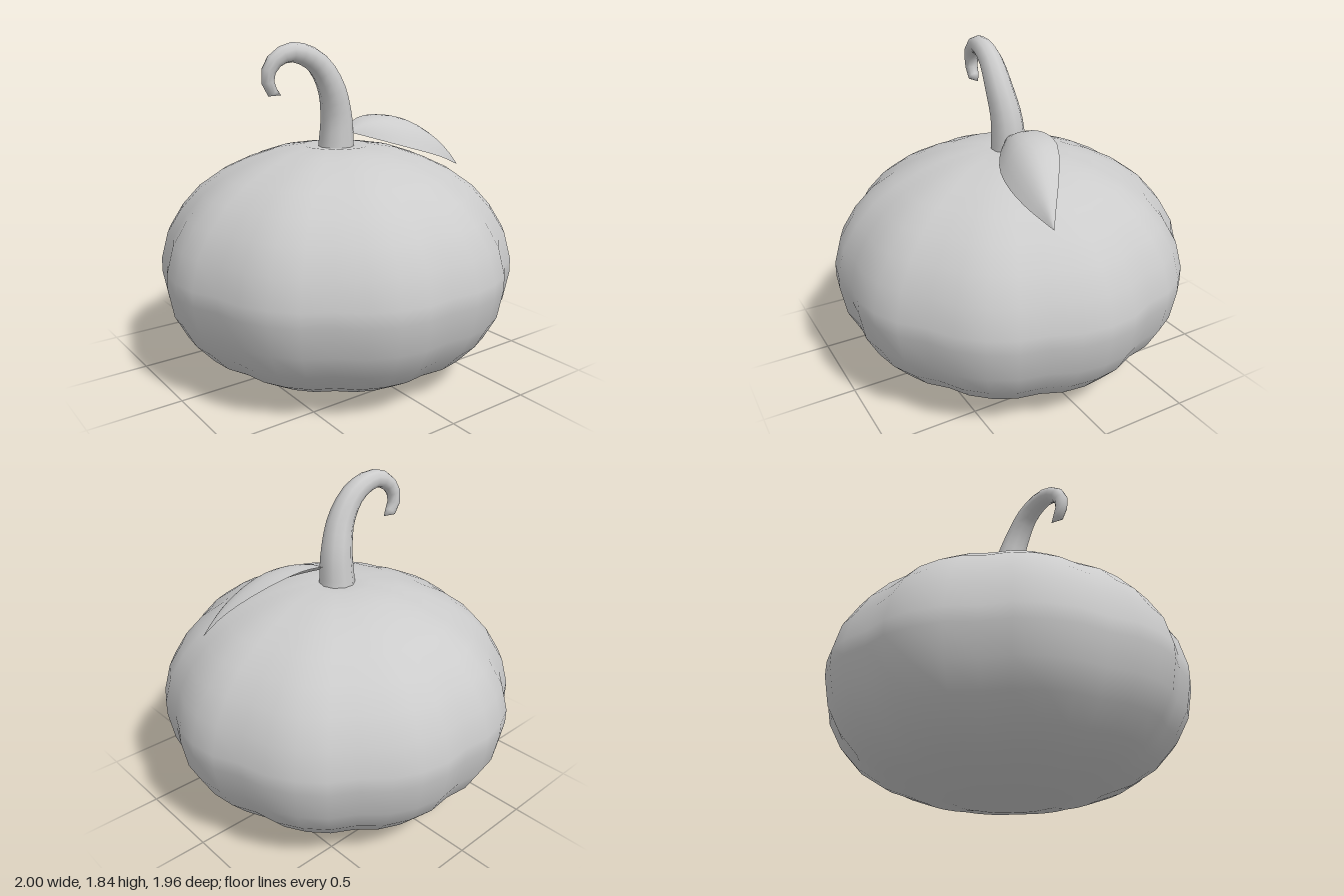
import * as THREE from 'three';
import { mergeVertices } from 'three/addons/utils/BufferGeometryUtils.js';

const material = new THREE.MeshStandardMaterial({ color: 0xcccccc });
const leafMaterial = new THREE.MeshStandardMaterial({ color: 0xcccccc, side: THREE.DoubleSide });

function addMesh(group, name, geometry, mat = material) {
  const mesh = new THREE.Mesh(geometry, mat);
  mesh.name = name;
  group.add(mesh);
}

// Weld seams so that the normals run smoothly all the way round
function smooth(geometry) {
  geometry.deleteAttribute('uv');
  geometry.deleteAttribute('normal');
  const welded = mergeVertices(geometry, 1e-4);
  welded.computeVertexNormals();
  return welded;
}

// Squashed round body with ten broad lobes and narrow grooves
function bodyGeometry() {
  const profile = [
    [0, 0.02], [0.15, 0.005], [0.3, 0], [0.5, 0.03], [0.67, 0.09], [0.8, 0.17], [0.9, 0.28],
    [0.97, 0.41], [1, 0.57], [1, 0.65], [0.96, 0.8], [0.88, 0.93], [0.78, 1.04],
    [0.65, 1.13], [0.5, 1.2], [0.35, 1.25], [0.19, 1.275], [0.08, 1.265], [0, 1.26],
  ].map(([r, y]) => new THREE.Vector2(r, y));
  const geometry = new THREE.LatheGeometry(profile, 40);
  const p = geometry.attributes.position;
  for (let i = 0; i < p.count; i++) {
    const angle = Math.atan2(p.getZ(i), p.getX(i));
    const lobe = 0.965 + 0.035 * Math.abs(Math.cos(5 * angle)) ** 0.6;
    p.setX(i, p.getX(i) * lobe);
    p.setZ(i, p.getZ(i) * lobe);
  }
  return smooth(geometry);
}

// Tapering stem that curls over to one side
function stemGeometry() {
  const path = new THREE.CatmullRomCurve3([
    [0, 1.24, 0], [-0.005, 1.43, 0.01], [-0.055, 1.6, 0.03], [-0.14, 1.725, 0.03],
    [-0.24, 1.78, 0.025], [-0.32, 1.787, 0.02], [-0.4, 1.745, 0.01], [-0.437, 1.67, 0],
    [-0.42, 1.6, 0], [-0.385, 1.568, 0], [-0.357, 1.567, 0],
  ].map((c) => new THREE.Vector3(...c)));
  const steps = 18, sides = 10;
  const geometry = new THREE.TubeGeometry(path, steps, 1, sides);
  const p = geometry.attributes.position;
  const v = new THREE.Vector3();
  for (let i = 0; i < p.count; i++) {
    const step = Math.floor(i / (sides + 1));
    const u = step / steps;
    const centre = path.getPointAt(u);
    const radius = step === steps ? 0 : 0.102 - 0.075 * u;
    v.fromBufferAttribute(p, i).sub(centre).multiplyScalar(radius).add(centre);
    p.setXYZ(i, v.x, v.y, v.z);
  }
  return smooth(geometry);
}

// One arched leaf face, swept between its back and front edges
function leafFace(arch, flip) {
  const edge = (points) => new THREE.CatmullRomCurve3(points.map((c) => new THREE.Vector3(...c)));
  const back = edge([[0.07, 1.36, 0.02], [0.15, 1.4, -0.035], [0.28, 1.42, -0.055],
    [0.42, 1.4, -0.04], [0.58, 1.31, 0.05], [0.69, 1.21, 0.135], [0.765, 1.11, 0.195]]);
  const front = edge([[0.07, 1.34, 0.06], [0.17, 1.307, 0.15], [0.3, 1.265, 0.225],
    [0.45, 1.22, 0.255], [0.6, 1.172, 0.245], [0.7, 1.133, 0.215], [0.765, 1.11, 0.195]]);
  const up = new THREE.Vector3(0.2, 0.85, 0.45).normalize();
  const long = 14, wide = 8, positions = [], index = [];
  for (let i = 0; i <= long; i++) {
    const a = back.getPoint(i / long), b = front.getPoint(i / long);
    for (let j = 0; j <= wide; j++) {
      const t = j / wide;
      const lift = arch * a.distanceTo(b) * Math.sin(Math.PI * t);
      positions.push(...a.clone().lerp(b, t).addScaledVector(up, lift));
      if (i === long || j === wide) continue;
      const k = i * (wide + 1) + j, n = k + wide + 1;
      if (flip) index.push(k, n, k + 1, k + 1, n, n + 1);
      else index.push(k, k + 1, n, k + 1, n + 1, n);
    }
  }
  const geometry = new THREE.BufferGeometry();
  geometry.setAttribute('position', new THREE.Float32BufferAttribute(positions, 3));
  geometry.setIndex(index);
  geometry.computeVertexNormals();
  return geometry;
}

export function createModel() {
  const model = new THREE.Group();
  model.name = 'pumpkin';
  addMesh(model, 'body', bodyGeometry());
  addMesh(model, 'stem', stemGeometry());

  // Thin leaf with a domed top and a hollow underside
  const leaf = new THREE.Group();
  leaf.name = 'leaf';
  addMesh(leaf, 'leafTop', leafFace(0.2, false), leafMaterial);
  addMesh(leaf, 'leafUnderside', leafFace(0.1, true), leafMaterial);
  model.add(leaf);
  return model;
}
